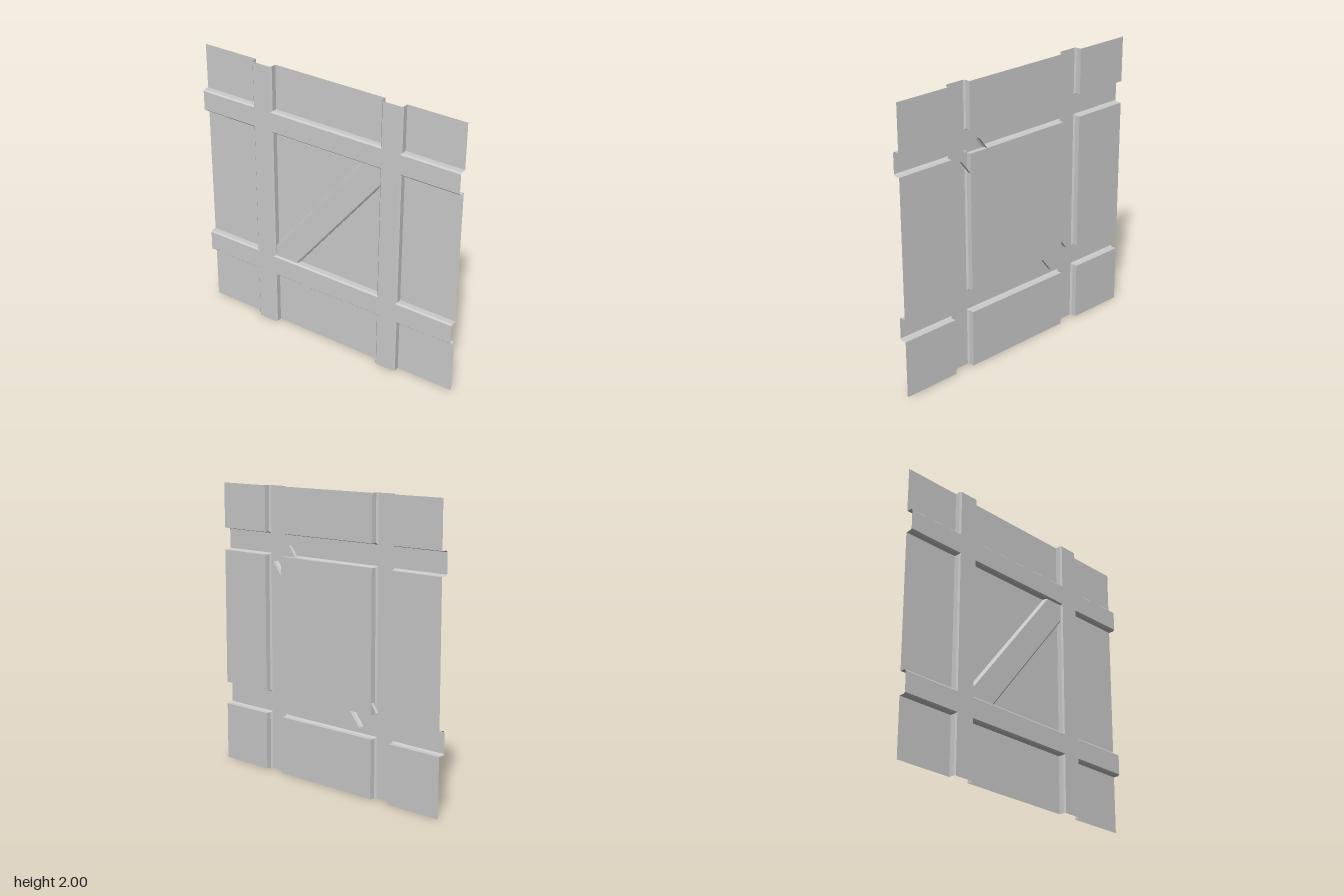
import * as THREE from 'three';

const FRONT = 0.023, SHOULDER = -0.014, BACK = -0.025, BEVEL = 0.01;
const material = new THREE.MeshStandardMaterial({
  color: 0xcccccc, flatShading: true, side: THREE.DoubleSide,
});

// Thin sheet made of four-cornered faces, each corner [x, y, z]
function sheet(name, quads) {
  const positions = [];
  for (const [a, b, c, d] of quads) positions.push(...a, ...b, ...c, ...a, ...c, ...d);
  const geometry = new THREE.BufferGeometry();
  geometry.setAttribute('position', new THREE.Float32BufferAttribute(positions, 3));
  geometry.computeVertexNormals();
  const mesh = new THREE.Mesh(geometry, material);
  mesh.name = name;
  return mesh;
}

// Corners of an upright rectangle at depth x, counter-clockwise seen from +x
const rect = (x, z0, z1, y0, y1) => [[x, y0, z1], [x, y0, z0], [x, y1, z0], [x, y1, z1]];

// Panel with straight walls and a flared bevel on every side that meets a beam
function panel([z0, z1], [y0, y1]) {
  const grow = (v, limit, sign) => (v === limit ? v : v + sign * BEVEL);
  const rings = [
    rect(FRONT, z0, z1, y0, y1),
    rect(SHOULDER, z0, z1, y0, y1),
    rect(BACK, grow(z0, -1, -1), grow(z1, 1, 1), grow(y0, 0, -1), grow(y1, 2, 1)),
  ];
  const open = [y0 === 0, z0 === -1, y1 === 2, z1 === 1];
  const quads = [rings[0]];
  for (let r = 0; r < 2; r++) {
    for (let i = 0; i < 4; i++) {
      if (open[i]) continue; // outer border stays open
      const j = (i + 1) % 4;
      quads.push([rings[r][i], rings[r + 1][i], rings[r + 1][j], rings[r][j]]);
    }
  }
  return sheet('panel', quads);
}

// Diagonal brace: open channel with bevelled edges
function brace() {
  const length = 1.302, half = 0.098;
  const profile = [
    [FRONT, -half], [-0.001, -half], [-0.011, -half + BEVEL],
    [-0.011, half - BEVEL], [-0.001, half], [FRONT, half],
  ];
  const quads = [];
  for (let i = 0; i < profile.length - 1; i++) {
    const [xa, za] = profile[i], [xb, zb] = profile[i + 1];
    quads.push([
      [xa, -length / 2, za], [xa, length / 2, za],
      [xb, length / 2, zb], [xb, -length / 2, zb],
    ]);
  }
  const mesh = sheet('diagonalBrace', quads);
  mesh.position.set(0, 1.035, 0.0125);
  mesh.rotation.x = Math.atan2(0.81, 1.02);
  return mesh;
}

export function createModel() {
  const model = new THREE.Group();
  model.name = 'bracedPanelDoor';

  // Panel extents between the beams
  const zCells = [[-1, -0.578], [-0.422, 0.422], [0.578, 1]];
  const yCells = [[0, 0.404], [0.564, 1.525], [1.682, 2]];
  const panels = new THREE.Group();
  panels.name = 'panels';
  for (const z of zCells) for (const y of yCells) panels.add(panel(z, y));
  model.add(panels);

  // Gaps between neighbouring panels, less the bevels, give the beam faces
  const gaps = (cells) => [0, 1].map((i) => [cells[i][1] + BEVEL, cells[i + 1][0] - BEVEL]);
  const zBeams = gaps(zCells), yBeams = gaps(yCells);
  for (const [z0, z1] of zBeams) {
    model.add(sheet('verticalBeam', [rect(BACK, z0, z1, 0, 2)]));
  }
  const spans = [[-1, zBeams[0][0]], [zBeams[0][1], zBeams[1][0]], [zBeams[1][1], 1]];
  for (const [y0, y1] of yBeams) {
    model.add(sheet('horizontalBeam', spans.map(([z0, z1]) => rect(BACK, z0, z1, y0, y1))));
  }

  model.add(brace());
  return model;
}
